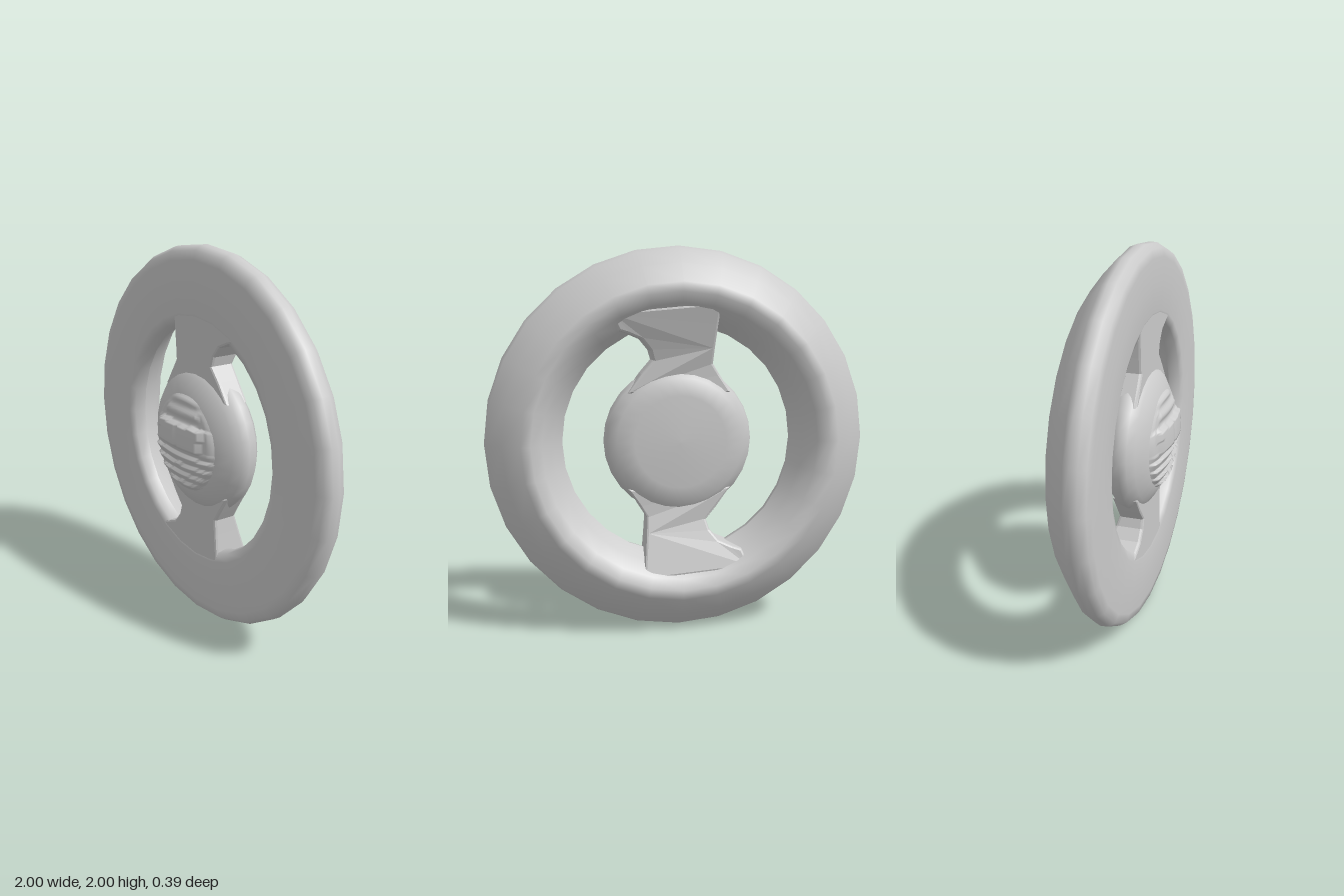
import * as THREE from 'three';

const material = new THREE.MeshStandardMaterial({ color: 0xcccccc });
const reliefMaterial = new THREE.MeshStandardMaterial({ color: 0xcccccc, side: THREE.DoubleSide });

// Turn a (radius, z) profile about the z axis.
function turned(name, profile, segments) {
  const points = profile.map(([r, z]) => new THREE.Vector2(r, z));
  const geometry = new THREE.LatheGeometry(points, segments).rotateX(Math.PI / 2);
  const mesh = new THREE.Mesh(geometry, material);
  mesh.name = name;
  return mesh;
}

// Flat-fronted rim with a wide outer chamfer and a sloped inner wall at the back.
function createRim() {
  return turned('rim', [
    [0.605, 0.0], [0.65, -0.09], [0.71, -0.165], [0.765, -0.195], [0.815, -0.19],
    [0.91, -0.115], [0.985, -0.045], [1.0, -0.01], [0.998, 0.03], [0.975, 0.065],
    [0.93, 0.073], [0.8, 0.076], [0.66, 0.073], [0.615, 0.058], [0.605, 0.0],
  ], 28);
}

// Thick hub: nearly flat back, domed front.
function createHub() {
  return turned('hub', [
    [0, -0.105], [0.24, -0.1], [0.33, -0.08], [0.378, -0.035], [0.392, 0.015],
    [0.375, 0.05], [0.34, 0.085], [0.26, 0.131], [0.13, 0.157], [0, 0.165],
  ], 28);
}

// Spoke from hub to rim, its back face sloping to meet the rim.
function createSpoke(name, angle) {
  const outline = new THREE.Shape([
    [-0.27, 0.25], [-0.21, 0.345], [-0.175, 0.4], [-0.18, 0.48], [-0.19, 0.6],
    [-0.2, 0.71], [0.36, 0.66], [0.32, 0.57], [0.27, 0.555], [0.2, 0.525],
    [0.155, 0.47], [0.14, 0.42], [0.2, 0.35], [0.27, 0.25],
  ].reverse().map(([x, y]) => new THREE.Vector2(x, y)));
  const geometry = new THREE.ExtrudeGeometry(outline, {
    depth: 0.1, bevelThickness: 0.015, bevelSize: 0.012, bevelOffset: -0.012, bevelSegments: 2,
  }).translate(0, 0, -0.045);
  const p = geometry.attributes.position;
  for (let i = 0; i < p.count; i++) {
    if (p.getZ(i) < 0) {
      p.setZ(i, p.getZ(i) - Math.max(0, Math.hypot(p.getX(i), p.getY(i)) - 0.42) * 0.3);
    }
  }
  geometry.computeVertexNormals();
  const mesh = new THREE.Mesh(geometry, material);
  mesh.name = name;
  mesh.rotation.z = angle;
  return mesh;
}

// Height of the worn relief above the dome: a raised bar, ribs below, faint slats above.
function reliefHeight(x, y) {
  if (y > -0.01 && y < 0.11) {
    return Math.abs(x) < 0.18 ? 0.034 - (Math.abs(x) < 0.012 ? 0.012 : 0) : 0.014;
  }
  if (y <= -0.01) {
    const phase = (-y / 0.052) % 1;
    return 0.004 + 0.02 * (1 - phase);
  }
  return Math.abs(x) < 0.14 ? 0.01 + 0.007 * Math.sin(y * 85) : 0.005;
}

// Round relief patch following the hub dome.
function createRelief() {
  const columns = 32, rows = 56, radius = 0.265;
  const geometry = new THREE.PlaneGeometry(2, 2, columns, rows);
  const p = geometry.attributes.position;
  for (let i = 0; i < p.count; i++) {
    const u = p.getX(i), v = p.getY(i);
    const x = radius * u * Math.sqrt(1 - v * v / 2);
    const y = radius * v * Math.sqrt(1 - u * u / 2);
    const r = Math.hypot(x, y);
    const fade = Math.min(1, (radius - r) / 0.03);
    const z = 0.165 - 0.5 * r * r + fade * reliefHeight(x, y) - (1 - fade) * 0.006;
    p.setXYZ(i, x, y, z);
  }
  geometry.computeVertexNormals();
  const mesh = new THREE.Mesh(geometry, reliefMaterial);
  mesh.name = 'hubRelief';
  return mesh;
}

export function createModel() {
  const wheel = new THREE.Group();
  wheel.name = 'wheel';
  wheel.add(
    createRim(),
    createHub(),
    createSpoke('topSpoke', 0),
    createSpoke('bottomSpoke', Math.PI),
    createRelief(),
  );
  wheel.position.y = 1;
  const model = new THREE.Group();
  model.add(wheel);
  return model;
}
